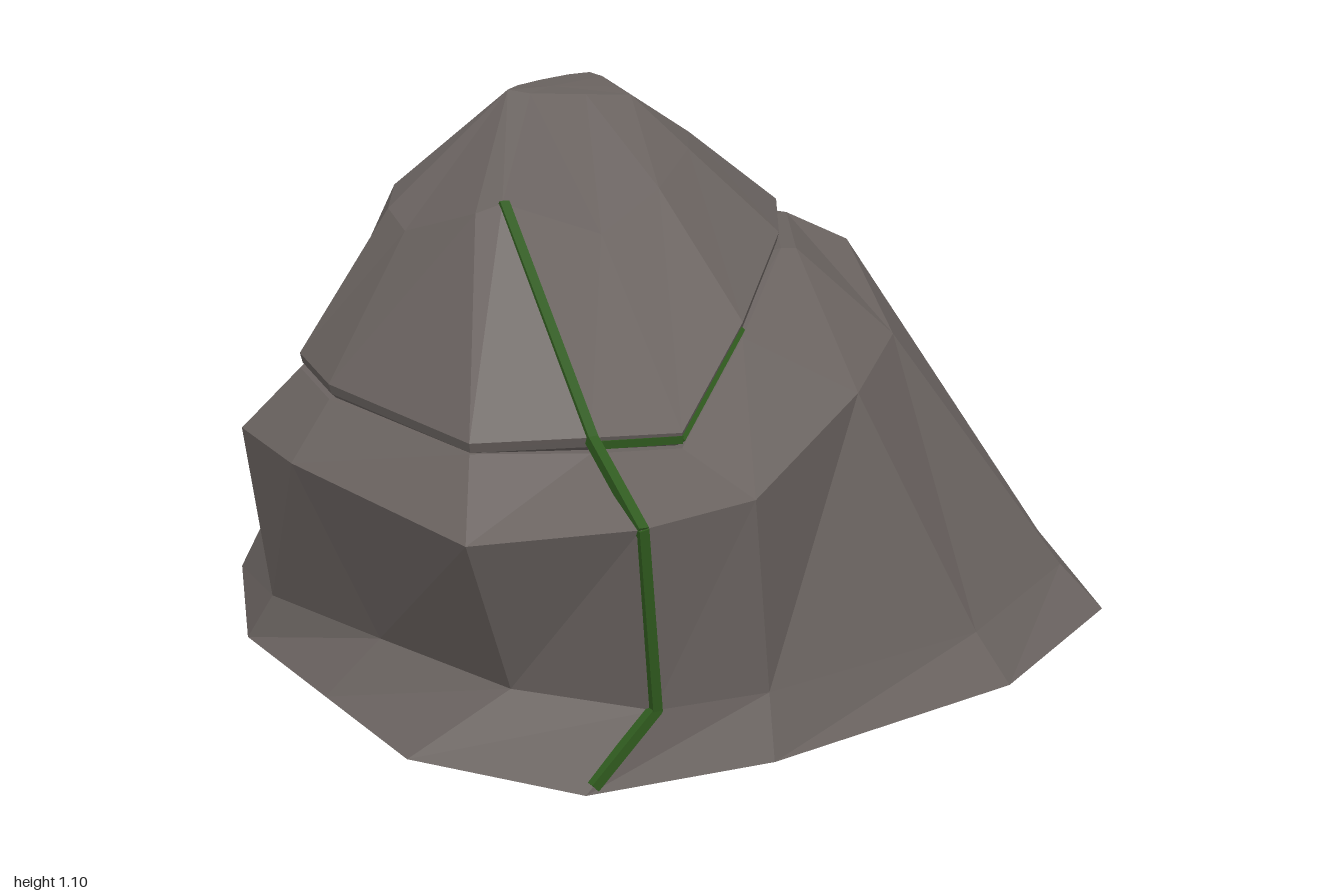
import * as THREE from 'three';

// Every ring is x, y, z triples, running from the front crevice round by +x to the back.
const toRing = (n) => Array.from({ length: n.length / 3 }, (_, i) => new THREE.Vector3(...n.slice(i * 3, i * 3 + 3)));

// Body cross-sections: ground outline, foot, shoulder (overhanging in front, low at the back), shelf edge
const ground = toRing([0.1, 0, 1, 0.4, 0, 0.78, 0.77, 0, 0.33, 0.9, 0, -0.1, 0.72, 0, -0.49, 0.43, 0, -0.74, 0.13, 0, -1,
  -0.26, 0, -0.92, -0.68, 0, -0.53, -0.88, 0, -0.25, -0.9, 0, 0.1, -0.75, 0, 0.46, -0.5, 0, 0.7, -0.26, 0, 0.93]);
const foot = toRing([0.2, 0.13, 0.89, 0.38, 0.12, 0.74, 0.7, 0.1, 0.32, 0.81, 0.09, -0.1, 0.65, 0.1, -0.46, 0.4, 0.12, -0.69, 0.12, 0.13, -0.93,
  -0.275, 0.12, -0.83, -0.59, 0.11, -0.52, -0.83, 0.1, -0.2, -0.85, 0.1, 0.1, -0.69, 0.1, 0.47, -0.4, 0.115, 0.66, -0.08, 0.13, 0.86]);
const shoulder = toRing([0.19, 0.5, 0.95, 0.36, 0.51, 0.78, 0.47, 0.59, 0.38, 0.48, 0.61, 0.06, 0.32, 0.7, -0.28, 0.16, 0.65, -0.5, -0.04, 0.55, -0.68,
  -0.29, 0.29, -0.69, -0.46, 0.24, -0.5, -0.53, 0.35, -0.25, -0.77, 0.41, 0.1, -0.74, 0.45, 0.47, -0.56, 0.465, 0.68, -0.12, 0.455, 0.99]);
const shelf = toRing([0.06, 0.58, 0.8, 0.2, 0.56, 0.68, 0.25, 0.69, 0.4, 0.28, 0.77, 0.05, 0.2, 0.76, -0.24, 0.05, 0.73, -0.38, -0.13, 0.7, -0.52,
  -0.36, 0.67, -0.4, -0.46, 0.61, -0.19, -0.56, 0.55, 0, -0.65, 0.56, 0.2, -0.64, 0.56, 0.4, -0.52, 0.56, 0.57, -0.16, 0.57, 0.83]);

// Cap cross-sections: rim, waist, crest
const rim = toRing([0.06, 0.61, 0.8, 0.2, 0.59, 0.68, 0.25, 0.72, 0.4, 0.245, 0.8, 0.05, 0.18, 0.79, -0.23, 0.03, 0.77, -0.36, -0.13, 0.74, -0.49,
  -0.35, 0.69, -0.38, -0.45, 0.635, -0.18, -0.55, 0.58, 0.01, -0.645, 0.59, 0.2, -0.64, 0.59, 0.4, -0.52, 0.59, 0.57, -0.16, 0.59, 0.83]);
const waist = toRing([-0.19, 0.95, 0.5, -0.02, 0.88, 0.42, 0.05, 0.93, 0.25, 0.06, 0.96, 0.05, 0.02, 0.95, -0.12, -0.06, 0.94, -0.2, -0.17, 0.93, -0.28,
  -0.28, 0.94, -0.22, -0.36, 0.92, -0.08, -0.43, 0.9, 0.08, -0.49, 0.9, 0.24, -0.47, 0.88, 0.34, -0.41, 0.86, 0.42, -0.24, 0.93, 0.51]);
const crest = toRing([-0.26, 1.1, 0.22, -0.22, 1.09, 0.2, -0.13, 1.075, 0.12, -0.06, 1.06, 0.04, -0.1, 1.065, 0, -0.15, 1.065, -0.08, -0.19, 1.06, -0.13,
  -0.22, 1.065, -0.08, -0.25, 1.075, 0.02, -0.27, 1.085, 0.12, -0.26, 1.1, 0.22, -0.26, 1.1, 0.22, -0.26, 1.1, 0.22, -0.26, 1.1, 0.22]);

// Skin a stack of rings and close both ends
function loft(rings) {
  const pos = [];
  const tri = (...v) => v.forEach((p) => pos.push(p.x, p.y, p.z));
  const n = rings[0].length;
  const bottom = rings[0];
  const top = rings[rings.length - 1];
  const middle = (ring) => ring.reduce((s, p) => s.add(p), new THREE.Vector3()).divideScalar(n);
  const low = middle(bottom);
  const high = middle(top);
  for (let i = 0; i < n; i++) {
    const j = (i + 1) % n;
    for (let r = 0; r < rings.length - 1; r++) {
      const a = rings[r];
      const b = rings[r + 1];
      tri(a[i], a[j], b[j]);
      tri(a[i], b[j], b[i]);
    }
    tri(low, bottom[j], bottom[i]);
    tri(high, top[i], top[j]);
  }
  const geo = new THREE.BufferGeometry();
  geo.setAttribute('position', new THREE.Float32BufferAttribute(pos, 3));
  geo.computeVertexNormals();
  return geo;
}

// Shrink a ring toward the cap's axis and shift it in height
const inset = (ring, k, dy) => ring.map((p) => new THREE.Vector3(-0.2 + (p.x + 0.2) * k, p.y + dy, 0.17 + (p.z - 0.17) * k));

// Thin four-sided strands following a broken line
function vein(name, points, radius, material) {
  const group = new THREE.Group();
  group.name = name;
  for (let i = 0; i < points.length - 1; i++) {
    const dir = points[i + 1].clone().sub(points[i]);
    const strand = new THREE.Mesh(new THREE.CylinderGeometry(radius, radius, dir.length() + radius * 0.5, 4), material);
    strand.name = name + 'Segment';
    strand.position.copy(points[i]).addScaledVector(dir, 0.5);
    strand.quaternion.setFromUnitVectors(new THREE.Vector3(0, 1, 0), dir.normalize());
    group.add(strand);
  }
  return group;
}

export function createModel() {
  const model = new THREE.Group();
  model.name = 'boulder';
  const stone = new THREE.MeshStandardMaterial({ color: 0x6a6360, flatShading: true });
  const moss = new THREE.MeshStandardMaterial({ color: 0x2f5a1e, flatShading: true });

  // Broad lower rock, its top sunk slightly beneath the cap
  const body = new THREE.Mesh(loft([ground, foot, shoulder, shelf, inset(shelf, 0.94, 0)]), stone);
  body.name = 'lowerRock';

  // Peaked upper rock with an undercut rim
  const cap = new THREE.Mesh(loft([inset(rim, 0.95, -0.04), inset(rim, 0.99, -0.02), rim, waist, crest]), stone);
  cap.name = 'upperRock';

  // Mossy cracks: one down the front, one tucked under the cap rim
  const crack = toRing([0.11, 0.013, 0.98, 0.2, 0.13, 0.885, 0.19, 0.497, 0.942, 0.06, 0.605, 0.795, -0.19, 0.945, 0.493]);
  const seam = toRing([0.06, 0.594, 0.79, 0.194, 0.576, 0.672, 0.243, 0.705, 0.4]);
  model.add(body, cap, vein('frontCrack', crack, 0.014, moss), vein('seamCrack', seam, 0.011, moss));
  return model;
}
